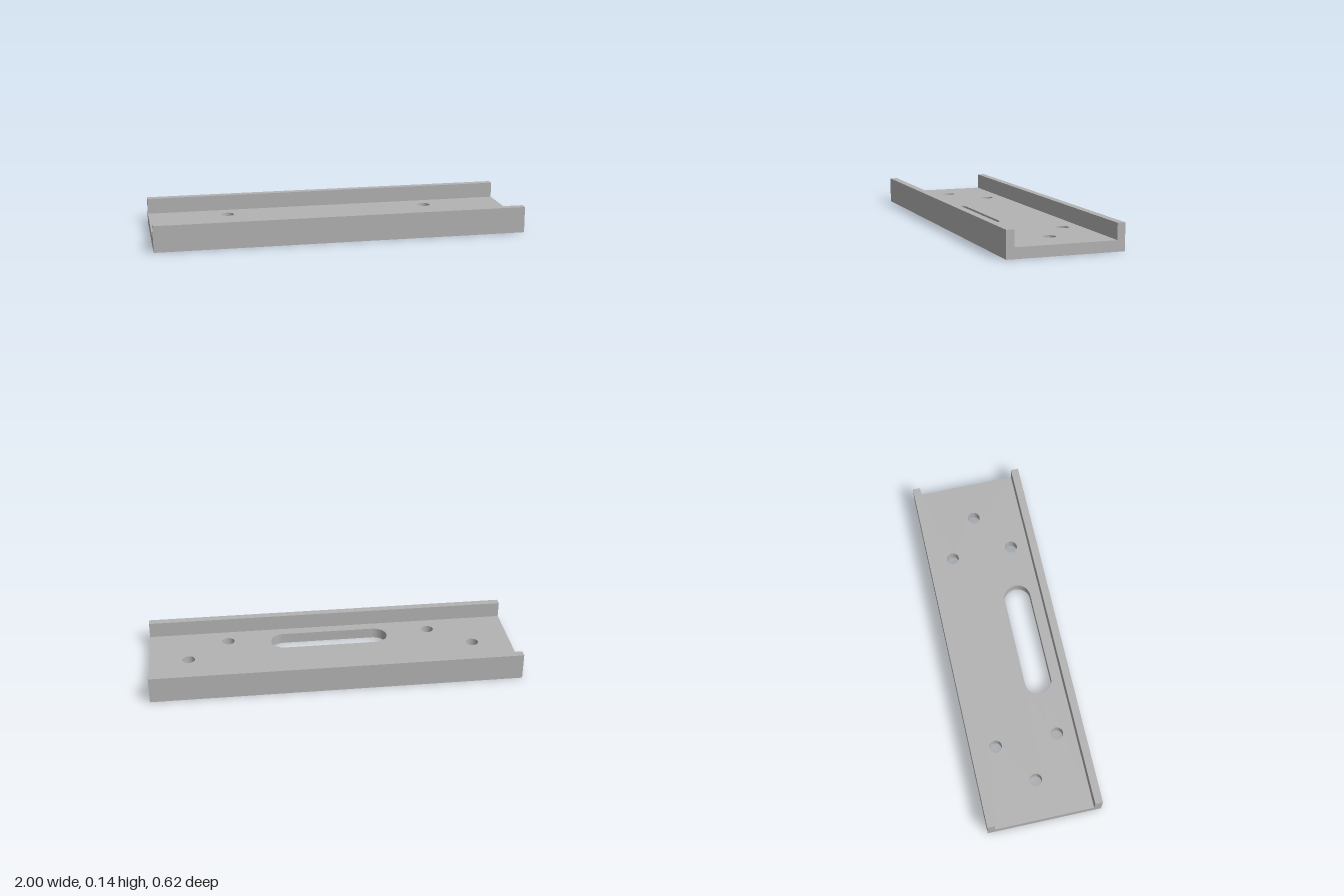
import * as THREE from 'three';
import { toCreasedNormals } from 'three/addons/utils/BufferGeometryUtils.js';

const LENGTH = 2, HALF_DEPTH = 0.308, HALF_FLOOR = 0.267;
const HEIGHT = 0.142, FLOOR = 0.057;

// Round hole in the floor
function roundHole(x, z, r) {
  const p = new THREE.Path();
  p.absarc(x, z, r, 0, Math.PI * 2, true);
  return p;
}

// Slot with semicircular ends
function slotHole(x, z, halfLength, r) {
  const p = new THREE.Path();
  const c = halfLength - r;
  p.absarc(x + c, z, r, -Math.PI / 2, Math.PI / 2, false);
  p.absarc(x - c, z, r, Math.PI / 2, Math.PI * 1.5, false);
  p.closePath();
  return p;
}

export function createModel() {
  const group = new THREE.Group();
  group.name = 'channelBracket';
  const metal = new THREE.MeshStandardMaterial({ color: 0xb3b3b3 });
  metal.name = 'grey metal';

  // Floor plate, drawn in x and z, then laid flat
  const h = LENGTH / 2;
  const outline = new THREE.Shape([
    new THREE.Vector2(-h, -HALF_FLOOR), new THREE.Vector2(h, -HALF_FLOOR),
    new THREE.Vector2(h, HALF_FLOOR), new THREE.Vector2(-h, HALF_FLOOR),
  ]);
  for (const side of [-1, 1]) {
    outline.holes.push(roundHole(side * 0.788, 0, 0.034));
    for (const z of [-0.169, 0.169]) outline.holes.push(roundHole(side * 0.564, z, 0.034));
  }
  outline.holes.push(slotHole(0, 0.137, 0.326, 0.073));

  const plate = new THREE.ExtrudeGeometry(outline, { depth: FLOOR, bevelEnabled: false, curveSegments: 32 });
  plate.rotateX(Math.PI / 2).translate(0, FLOOR, 0);
  const floor = new THREE.Mesh(toCreasedNormals(plate, Math.PI / 6), metal);
  floor.name = 'floorPlate';
  group.add(floor);

  // Upright rails along the front and back
  const thickness = HALF_DEPTH - HALF_FLOOR;
  for (const [name, side] of [['frontRail', 1], ['backRail', -1]]) {
    const rail = new THREE.Mesh(new THREE.BoxGeometry(LENGTH, HEIGHT, thickness), metal);
    rail.name = name;
    rail.position.set(0, HEIGHT / 2, side * (HALF_FLOOR + thickness / 2));
    group.add(rail);
  }
  return group;
}
